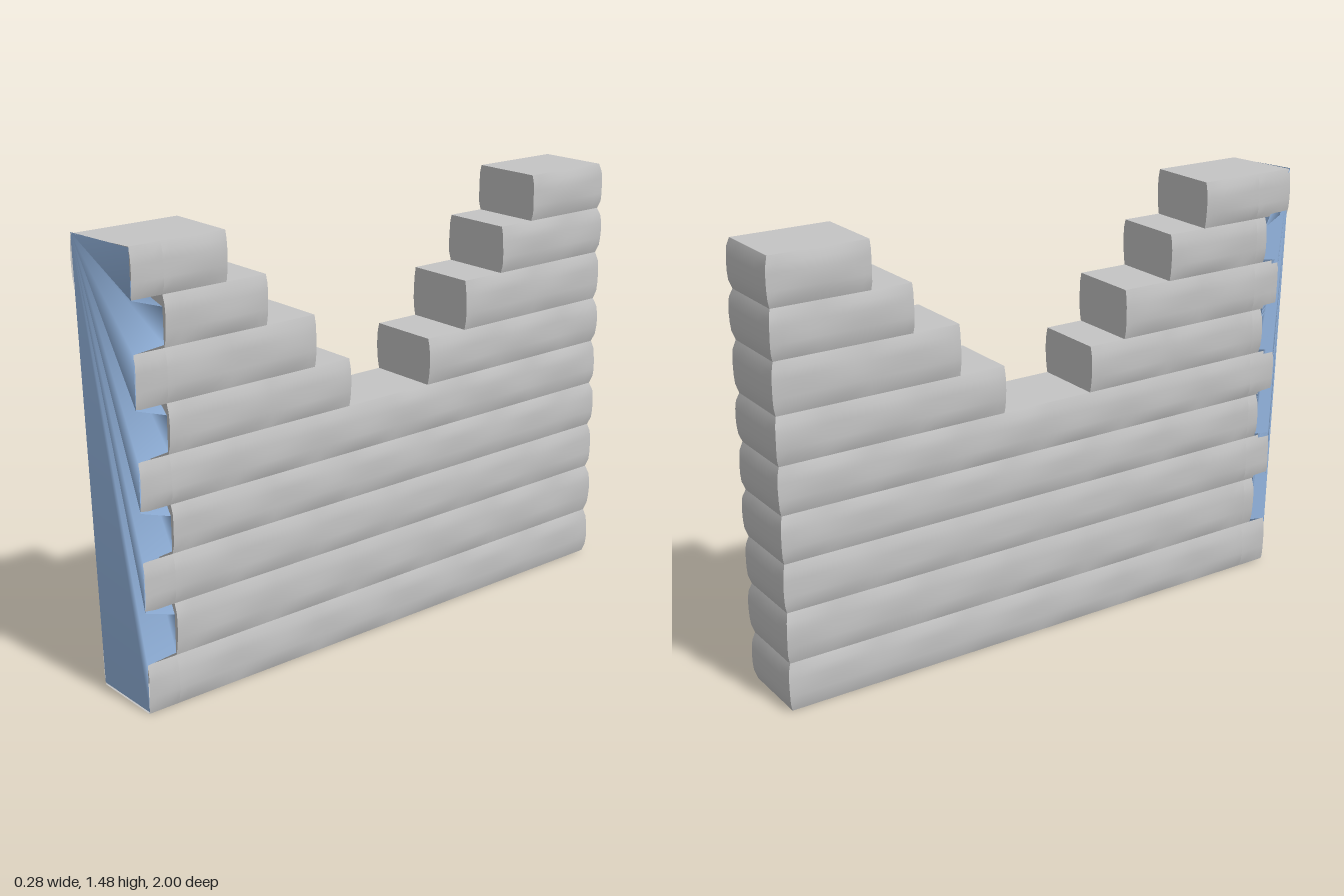
import * as THREE from 'three';

// Heights of the joints between the nine courses
const LEVELS = [0.003, 0.17, 0.345, 0.51, 0.67, 0.83, 0.99, 1.16, 1.32, 1.477];
const BACK = -0.982, FRONT = 0.965, RECESS = 0.86, BRICK = 0.325;
// Front and back ends of the stepped gap, for courses 5 to 8
const GAP = { 5: [0.16, -0.18], 6: [0.3, -0.345], 7: [0.485, -0.51], 8: [0.63, -0.65] };

const stone = new THREE.MeshStandardMaterial({ color: 0xc4c4c4, side: THREE.DoubleSide });
stone.name = 'grey stone';
const blue = new THREE.MeshStandardMaterial({ color: 0x93b4de, side: THREE.DoubleSide });
blue.name = 'blue end';

const hump = t => Math.sqrt(Math.max(0, 4 * t * (1 - t)));

// Pillow height of the stone surface, staggered by half a brick per course
function pillow(row, v, z) {
  const u = (((z - (row % 2 ? 0.48 : 0.63)) / BRICK) % 1 + 1) % 1;
  const wobble = 0.15 * Math.sin(z * 17 + row * 2.3) * Math.sin(v * 5 + row);
  return hump(v) * (0.55 + 0.45 * hump(u) + wobble);
}

// A run of one course; faces picks box sides (0 +x, 1 -x, 2 top, 3 bottom, 4 front, 5 back)
function block(row, z0, z1, faces = [0, 1, 2, 3, 4, 5]) {
  const y0 = LEVELS[row], h = LEVELS[row + 1] - y0, len = z1 - z0;
  const g = new THREE.BoxGeometry(2, h, len, 4, 6, Math.max(3, Math.ceil(len / 0.03)));
  const index = Array.from(g.index.array);
  g.setIndex(faces.flatMap(f => index.slice(g.groups[f].start, g.groups[f].start + g.groups[f].count)));
  g.clearGroups();
  const p = g.attributes.position;
  for (let i = 0; i < p.count; i++) {
    const side = p.getX(i), v = p.getY(i) / h + 0.5;
    let z = p.getZ(i) + (z0 + z1) / 2;
    const x = side * (0.124 + 0.013 * pillow(row, v, z));
    // the back end swells course by course
    if (z < BACK + 0.001) z -= 0.014 * hump(v) * (1 - 0.2 * side * side);
    // the top front corner leans forward on one side
    if (row === 8 && z > RECESS) z += 0.035 * (0.5 - side / 2) * (z - RECESS) / (FRONT - RECESS);
    p.setXYZ(i, x, y0 + v * h, z);
  }
  g.computeVertexNormals();
  return g;
}

// Surface fanned out from the first point over all the others
function fan(points) {
  const g = new THREE.BufferGeometry().setFromPoints(points);
  const index = [];
  for (let i = 1; i < points.length - 1; i++) index.push(0, i, i + 1);
  g.setIndex(index);
  g.computeVertexNormals();
  return g;
}

// Toothed edge of the unfinished end, from bottom to top
function toothedEdge(x, depth) {
  const pts = [new THREE.Vector3(x, 0.01, FRONT)];
  for (let row = 1; row < 9; row += 2) {
    const a = LEVELS[row], b = LEVELS[row + 1];
    pts.push(
      new THREE.Vector3(x, a, FRONT), new THREE.Vector3(x, a + 0.01, depth),
      new THREE.Vector3(x, b - 0.035, depth), new THREE.Vector3(x, b, FRONT));
  }
  return pts;
}

export function createModel() {
  const model = new THREE.Group();
  model.name = 'ruinedWall';
  const add = (name, geometry, material) => {
    const mesh = new THREE.Mesh(geometry, material);
    mesh.name = name;
    model.add(mesh);
  };

  for (let row = 0; row < 9; row++) {
    // Courses, split by the stepped gap higher up
    const inner = RECESS - 0.003;
    if (GAP[row]) {
      add('frontCourse', block(row, GAP[row][0], inner), stone);
      add('backCourse', block(row, BACK, GAP[row][1]), stone);
    } else {
      add('course', block(row, BACK, inner), stone);
    }
    // Stone skins reaching to the front end on every other course
    if (row % 2 === 0) {
      const faces = [0, 1];
      if (row === 8) faces.push(2);
      if (row === 0) faces.push(3);
      add('endStone', block(row, inner, FRONT, faces), stone);
    } else {
      add('endStone', block(row, inner, 0.9, [1]), stone);
    }
  }

  // Blue front end, with its toothed edges on both sides
  const apex = new THREE.Vector3(-0.127, 1.48, 1);
  add('frontEnd', fan([
    apex, new THREE.Vector3(-0.127, 0.01, FRONT),
    ...toothedEdge(0.127, RECESS), new THREE.Vector3(0.127, 1.475, FRONT),
  ]), blue);
  add('frontEndFlap', fan([apex, ...toothedEdge(-0.127, 0.9).reverse()]), blue);
  return model;
}
